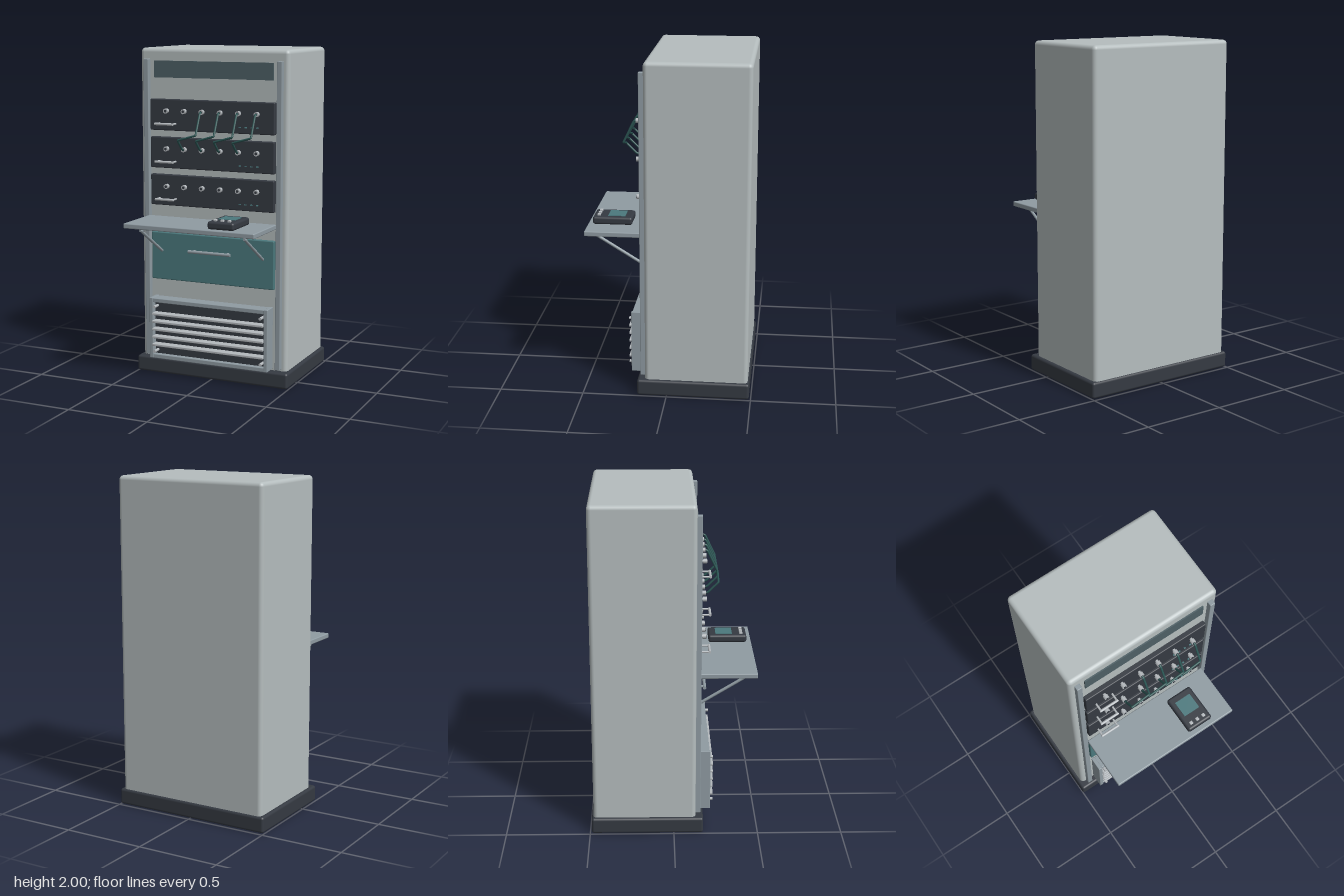
import * as THREE from 'three';
import { RoundedBoxGeometry } from 'three/addons/geometries/RoundedBoxGeometry.js';

const mat = (name, color) => {
  const m = new THREE.MeshStandardMaterial({ color });
  m.name = name;
  return m;
};

export function createModel() {
  const root = new THREE.Group();
  root.name = 'equipmentRack';
  const shell = mat('paleGrey', 0xb5bdbe);
  const steel = mat('steelGrey', 0x8f9ba2);
  const dark = mat('charcoal', 0x353a42);
  const teal = mat('teal', 0x4b797d);
  const slate = mat('slate', 0x4e6066);
  const metal = mat('brightMetal', 0xb4b9bd);
  const cableMat = mat('darkTeal', 0x2c5755);

  const add = (name, geometry, material, parent = root) => {
    const mesh = new THREE.Mesh(geometry, material);
    mesh.name = name;
    parent.add(mesh);
    return mesh;
  };
  // Box given by its limits on each axis, optionally rounded
  const box = (name, [x0, x1], [y0, y1], [z0, z1], material, r = 0, parent = root) => {
    const s = [x1 - x0, y1 - y0, z1 - z0];
    const g = r ? new RoundedBoxGeometry(...s, 3, r) : new THREE.BoxGeometry(...s);
    g.translate((x0 + x1) / 2, (y0 + y1) / 2, (z0 + z1) / 2);
    return add(name, g, material, parent);
  };
  // Round rod between two points
  const rod = (name, a, b, r, material, parent = root) => {
    const p = new THREE.Vector3(...a), q = new THREE.Vector3(...b);
    const dir = q.clone().sub(p);
    const mesh = add(name, new THREE.CylinderGeometry(r, r, dir.length(), 12), material, parent);
    mesh.position.copy(p).add(q).multiplyScalar(0.5);
    mesh.quaternion.setFromUnitVectors(new THREE.Vector3(0, 1, 0), dir.normalize());
    return mesh;
  };

  // Cabinet and plinth
  box('plinth', [-0.5, 0.5], [0.003, 0.1], [-0.49, 0.175], dark, 0.015);
  box('cabinet', [-0.48, 0.48], [0, 2], [-0.48, 0.13], shell, 0.025);
  for (const s of [-1, 1])
    box('rail', [s * 0.43 - 0.016, s * 0.43 + 0.016], [0.11, 1.935], [0.12, 0.16], steel, 0.004);
  box('headerPanel', [-0.385, 0.385], [1.825, 1.925], [0.12, 0.138], slate);

  // Three patch panels with sockets, handle and indicators
  const jackX = [-0.285, -0.168, -0.051, 0.066, 0.183, 0.3];
  for (const y of [1.63, 1.403, 1.176]) {
    const panel = new THREE.Group();
    panel.name = 'patchPanel';
    root.add(panel);
    box('panelFace', [-0.402, 0.402], [y - 0.119, y + 0.068], [0.12, 0.16], dark, 0.006, panel);
    for (const x of jackX) {
      rod('socketStem', [x, y, 0.155], [x, y, 0.172], 0.009, metal, panel);
      rod('socket', [x, y, 0.17], [x, y, 0.192], 0.015, metal, panel);
      rod('socketHole', [x, y, 0.19], [x, y, 0.194], 0.008, dark, panel);
    }
    const hy = y - 0.077;
    rod('handleBar', [-0.347, hy, 0.21], [-0.226, hy, 0.21], 0.008, metal, panel);
    for (const x of [-0.34, -0.233])
      rod('handlePost', [x, hy, 0.155], [x, hy, 0.21], 0.006, metal, panel);
    for (let i = 0; i < 4; i++) {
      const x = 0.187 + i * 0.037;
      box('indicator', [x - 0.006, x + 0.006], [hy - 0.007, hy - 0.001], [0.158, 0.168], teal, 0, panel);
    }
  }

  // Patch cables stepping one socket across
  for (let i = 2; i < 6; i++) {
    const a = jackX[i], b = jackX[i - 1];
    const pts = [[a, 1.63, 0.19], [a, 1.625, 0.205], [a, 1.5, 0.265],
      [b, 1.467, 0.265], [b, 1.408, 0.205], [b, 1.403, 0.19]];
    const path = new THREE.CurvePath();
    for (let k = 0; k < pts.length - 1; k++)
      path.add(new THREE.LineCurve3(new THREE.Vector3(...pts[k]), new THREE.Vector3(...pts[k + 1])));
    add('patchCable', new THREE.TubeGeometry(path, 60, 0.0065, 8), cableMat);
  }

  // Fold-out shelf and its braces
  box('shelf', [-0.416, 0.416], [0.96, 0.99], [0.155, 0.488], steel, 0.006);
  for (const s of [-1, 1]) {
    const x = s * 0.332;
    rod('braceStrut', [x, 0.775, 0.155], [x, 0.945, 0.43], 0.009, steel);
    rod('braceArm', [x, 0.948, 0.15], [x, 0.942, 0.435], 0.007, steel);
  }

  // Handheld meter on the shelf
  const meter = new THREE.Group();
  meter.name = 'meter';
  root.add(meter);
  box('meterBody', [0.112, 0.278], [0.99, 1.036], [0.224, 0.459], dark, 0.014, meter);
  box('meterScreen', [0.142, 0.248], [1.033, 1.039], [0.268, 0.37], teal, 0, meter);
  for (const x of [0.15, 0.194, 0.238])
    box('meterButton', [x - 0.01, x + 0.01], [1.03, 1.046], [0.415, 0.435], metal, 0.003, meter);

  // Drawer
  box('drawer', [-0.402, 0.402], [0.595, 0.888], [0.12, 0.155], teal, 0.006);
  rod('drawerHandle', [-0.138, 0.79, 0.192], [0.138, 0.79, 0.192], 0.01, steel);
  for (const x of [-0.11, 0.11])
    rod('drawerHandlePost', [x, 0.79, 0.15], [x, 0.79, 0.192], 0.007, steel);

  // Ventilation grille
  const grille = new THREE.Group();
  grille.name = 'grille';
  root.add(grille);
  box('grilleBack', [-0.37, 0.37], [0.13, 0.465], [0.12, 0.185], dark, 0, grille);
  for (const s of [-1, 1])
    box('grilleSide', [s * 0.378 - 0.012, s * 0.378 + 0.012], [0.108, 0.488], [0.13, 0.22], steel, 0.004, grille);
  for (const y of [0.12, 0.472])
    box('grilleRail', [-0.37, 0.37], [y - 0.013, y + 0.013], [0.13, 0.215], steel, 0.004, grille);
  for (let i = 0; i < 5; i++) {
    const y = 0.196 + i * 0.0485;
    box('slat', [-0.366, 0.366], [y - 0.007, y + 0.007], [0.18, 0.236], metal, 0.003, grille);
  }
  for (const x of [-0.35, 0.35])
    for (const y of [0.155, 0.435])
      rod('screw', [x, y, 0.18], [x, y, 0.236], 0.009, metal, grille);

  return root;
}
